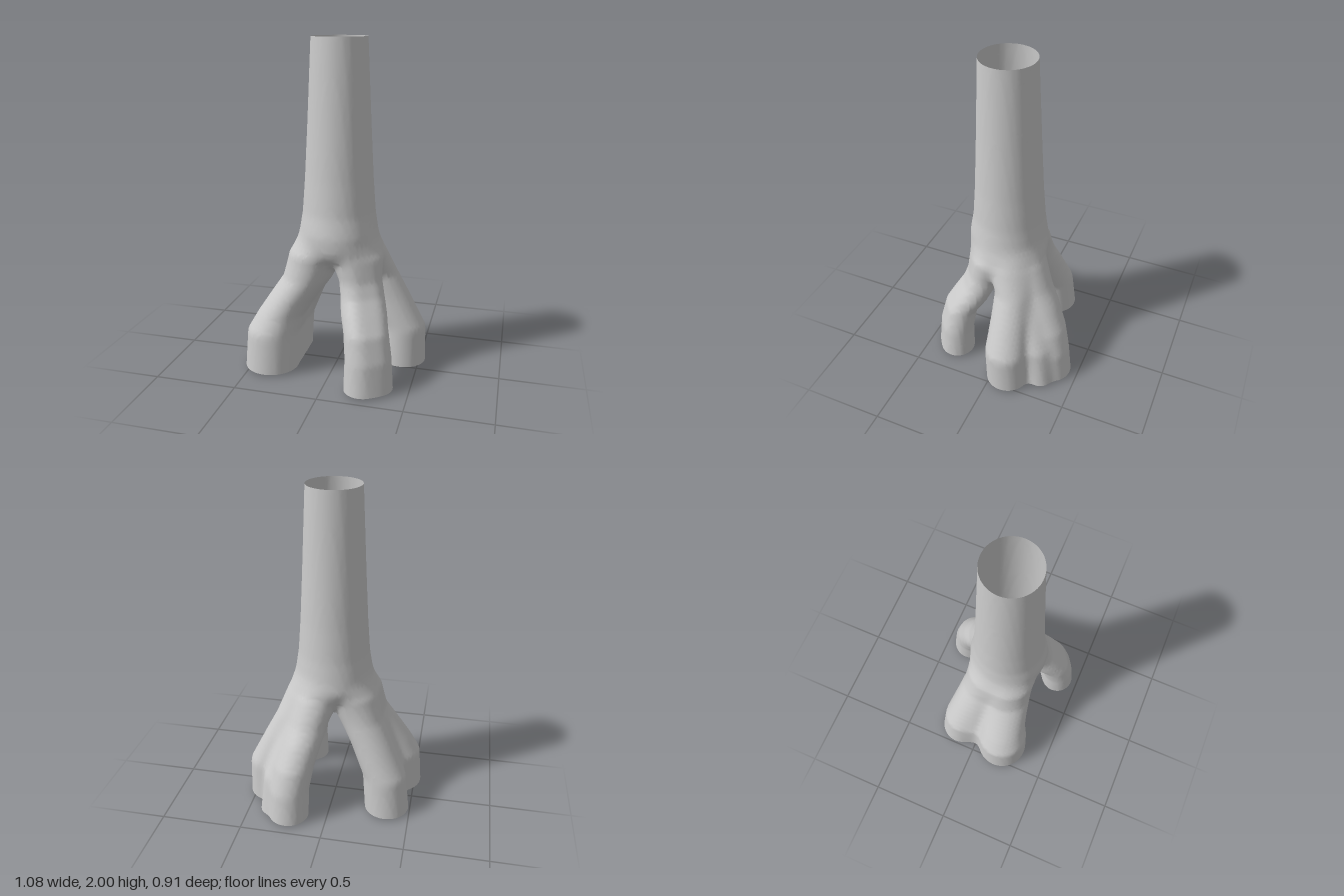
import * as THREE from 'three';

// Each limb is a stack of round sections: [y, centre x, centre z, radius]
const trunk = [
  [0.6, 0.025, 0.05, -0.2], [0.66, 0.025, 0.05, 0.07], [0.7, 0.025, 0.045, 0.165], [0.75, 0.025, 0.045, 0.223],
  [0.8, 0.025, 0.045, 0.24], [0.88, 0.02, 0.053, 0.234], [1.0, 0.02, 0.05, 0.215], [1.2, 0.02, 0.05, 0.2],
  [1.5, 0.02, 0.05, 0.184], [2, 0.02, 0.05, 0.16],
];

// Roots fade out inside the trunk
const root = (...sections) => [...sections, [1, 0.02, 0.05, 0.14], [1.25, 0.02, 0.05, 0]];
// Two strands side by side make an oval section
const ovalRoot = (dx, dz, ...sections) => [-1, 1].map((s) =>
  root(...sections.map(([y, x, z, r]) => [y, x + dx * s, z + dz * s, r])));

const roots = {
  front: ovalRoot(0.032, -0.022, [0, 0.267, 0.33, 0.109], [0.2, 0.262, 0.32, 0.1], [0.35, 0.242, 0.292, 0.094],
    [0.45, 0.215, 0.232, 0.098], [0.54, 0.195, 0.185, 0.092], [0.62, 0.178, 0.16, 0.09], [0.75, 0.145, 0.12, 0.12]),
  rightLarge: [root([0, -0.377, 0.175, 0.165], [0.25, -0.363, 0.17, 0.16], [0.36, -0.318, 0.158, 0.143], [0.45, -0.262, 0.145, 0.141],
    [0.6, -0.158, 0.12, 0.146], [0.75, -0.1, 0.1, 0.163])],
  rightWeb: ovalRoot(0, 0.05, [0, -0.335, 0.015, 0.12], [0.25, -0.32, 0.02, 0.118], [0.36, -0.28, 0.025, 0.108],
    [0.45, -0.235, 0.03, 0.112], [0.6, -0.155, 0.035, 0.125], [0.75, -0.1, 0.05, 0.155]),
  rightBack: [root([0, -0.355, -0.138, 0.138], [0.25, -0.33, -0.12, 0.133], [0.45, -0.24, -0.08, 0.128],
    [0.6, -0.165, -0.045, 0.13], [0.75, -0.1, 0, 0.15])],
  back: [root([0, 0.236, -0.332, 0.123], [0.2, 0.23, -0.312, 0.12], [0.35, 0.205, -0.275, 0.12], [0.5, 0.165, -0.208, 0.12],
    [0.6, 0.14, -0.152, 0.122], [0.75, 0.1, -0.07, 0.143])],
  backSmall: [root([0, 0.343, -0.295, 0.08], [0.25, 0.325, -0.265, 0.075], [0.45, 0.26, -0.19, 0.07],
    [0.6, 0.2, -0.11, 0.08], [0.75, 0.14, -0.04, 0.11])],
  backWeb: [root([0, 0.308, -0.2, 0.118], [0.25, 0.303, -0.185, 0.11], [0.45, 0.24, -0.135, 0.1],
    [0.6, 0.195, -0.09, 0.1], [0.75, 0.14, -0.03, 0.12])],
  left: [root([0, 0.405, -0.1, 0.134], [0.25, 0.405, -0.09, 0.13], [0.45, 0.32, -0.08, 0.115],
    [0.6, 0.25, -0.068, 0.107], [0.75, 0.165, -0.01, 0.132])],
};

// Signed distance to one limb, measured across its section at height y
function limbDistance(limb, x, y, z) {
  let i = 0;
  while (i < limb.length - 2 && y > limb[i + 1][0]) i++;
  const a = limb[i], b = limb[i + 1];
  const t = THREE.MathUtils.clamp((y - a[0]) / (b[0] - a[0]), 0, 1);
  const mix = (k) => a[k] + (b[k] - a[k]) * t;
  return Math.hypot(x - mix(1), z - mix(2)) - mix(3);
}

// Soft union of all limbs
const limbs = [trunk, ...Object.values(roots).flat()];
function field(x, y, z) {
  const k = 0.035;
  return limbs.reduce((d, limb) => {
    const e = limbDistance(limb, x, y, z);
    const h = Math.max(k - Math.abs(d - e), 0) / k;
    return Math.min(d, e) - h * h * k * 0.25;
  }, 10);
}

// Wraps one continuous skin round the soft union, left open at the top and the root ends
function skinGeometry() {
  const bottom = 0.015, top = 2, half = 0.64;
  const cells = [64, 66, 64];
  const step = [2 * half / cells[0], (top - bottom) / (cells[1] - 1), 2 * half / cells[2]];
  const origin = [-half, bottom - step[1] / 2, -half];
  const nodes = cells.map((n) => n + 1);
  const id = (p) => (p[0] * nodes[1] + p[1]) * nodes[2] + p[2];
  const at = (p) => p.map((v, a) => origin[a] + v * step[a]);
  const each = (size, visit) => {
    for (let i = 0; i < size[0]; i++)
      for (let j = 0; j < size[1]; j++)
        for (let k = 0; k < size[2]; k++) visit([i, j, k]);
  };
  const values = new Float32Array(nodes[0] * nodes[1] * nodes[2]);
  each(nodes, (p) => { values[id(p)] = field(...at(p)); });

  // One vertex per cell the skin passes through, drawn onto the surface
  const positions = [], vertexOf = new Map();
  each(cells, (c) => {
    const sum = [0, 0, 0];
    let hits = 0;
    for (let n = 0; n < 8; n++) {
      const p = [c[0] + (n & 1), c[1] + ((n >> 1) & 1), c[2] + (n >> 2)];
      for (let a = 0; a < 3; a++) {
        if ((n >> a) & 1) continue;
        const q = p.slice();
        q[a]++;
        const u = values[id(p)], v = values[id(q)];
        if ((u < 0) === (v < 0)) continue;
        const s = p.slice();
        s[a] += u / (u - v);
        at(s).forEach((w, b) => { sum[b] += w; });
        hits++;
      }
    }
    if (!hits) return;
    let pos = sum.map((w) => w / hits);
    const rim = c[1] === 0 || c[1] === cells[1] - 1;
    if (rim) pos[1] = c[1] === 0 ? bottom : top;
    for (let n = 0; n < 3; n++) {
      const e = 0.004, f = field(...pos);
      const g = [0, 1, 2].map((a) => {
        if (rim && a === 1) return 0;
        const lo = pos.slice(), hi = pos.slice();
        lo[a] -= e;
        hi[a] += e;
        return (field(...hi) - field(...lo)) / (2 * e);
      });
      const scale = THREE.MathUtils.clamp(f / Math.max(g[0] ** 2 + g[1] ** 2 + g[2] ** 2, 0.3), -0.01, 0.01);
      pos = pos.map((w, a) => w - g[a] * scale);
    }
    // Slight sag of the left root's inner rim
    if (c[1] === 0) pos[1] -= 0.015 * Math.exp(-((pos[0] - 0.28) ** 2 + (pos[2] + 0.03) ** 2) / 0.006);
    vertexOf.set(id(c), positions.length / 3);
    positions.push(...pos);
  });

  // One quad round every grid edge the skin crosses
  const index = [];
  each(cells, (p) => {
    for (let a = 0; a < 3; a++) {
      if (a === 1 && (p[1] === 0 || p[1] === cells[1] - 1)) continue;
      const q = p.slice();
      q[a]++;
      const inside = values[id(p)] < 0;
      if (inside === (values[id(q)] < 0)) continue;
      const u = (a + 1) % 3, v = (a + 2) % 3;
      if (p[u] === 0 || p[v] === 0) continue;
      const corner = (du, dv) => {
        const c = p.slice();
        c[u] -= du;
        c[v] -= dv;
        return vertexOf.get(id(c));
      };
      const quad = [corner(0, 0), corner(1, 0), corner(1, 1), corner(0, 1)];
      if (!inside) quad.reverse();
      index.push(quad[0], quad[1], quad[2], quad[0], quad[2], quad[3]);
    }
  });
  const geometry = new THREE.BufferGeometry();
  geometry.setAttribute('position', new THREE.Float32BufferAttribute(positions, 3));
  geometry.setIndex(index);
  geometry.computeVertexNormals();
  return geometry;
}

export function createModel() {
  const group = new THREE.Group();
  group.name = 'rootedTrunk';
  const skin = new THREE.Mesh(
    skinGeometry(),
    new THREE.MeshStandardMaterial({ color: 0xcccccc, side: THREE.DoubleSide }),
  );
  skin.name = 'trunkAndRoots';
  group.add(skin);
  return group;
}
